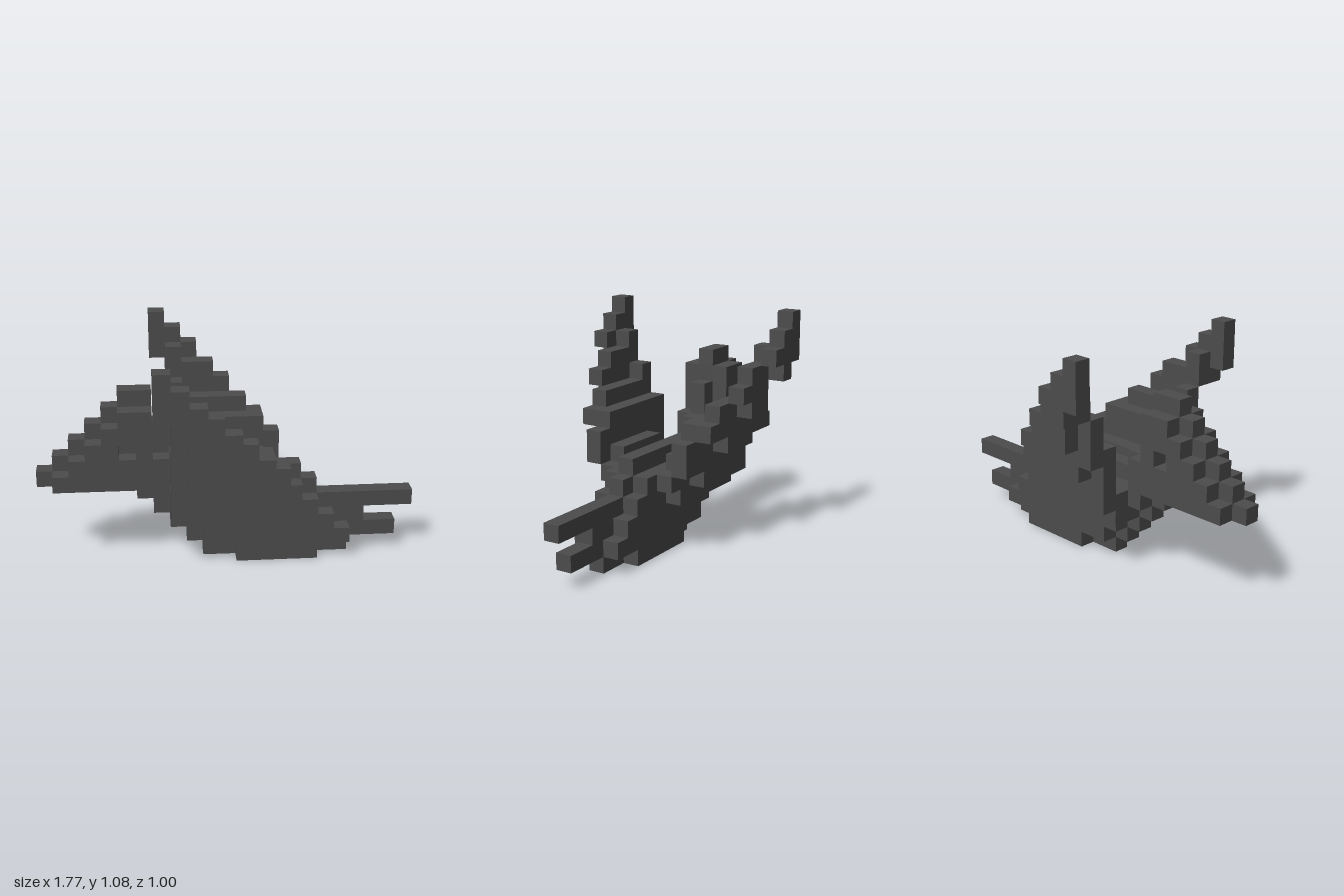
import * as THREE from 'three';
import { mergeGeometries } from 'three/addons/utils/BufferGeometryUtils.js';

const S = 2 / 26; // edge of one block

// Each slice lists runs of blocks as [row, first column, last column].
const spine = [
  [22, 5, 6], [21, 4, 6], [20, 3, 7], [19, 2, 7], [18, 1, 8], [17, 0, 15], [16, 6, 16],
  [15, 7, 22], [14, 8, 19], [13, 9, 21], [12, 10, 18],
];
// the gap in row 19 is the sunken eye
const flank = [
  [21, 5, 6], [20, 4, 6], [19, 3, 4], [19, 6, 6], [18, 2, 7], [17, 1, 7], [16, 7, 15],
  [15, 8, 16], [14, 9, 17], [13, 10, 18], [12, 12, 16],
];
// wing slices, from the root outwards
const wing = [
  [[17, 10, 13], [16, 8, 14], [15, 8, 13]],
  [[19, 8, 13], [18, 8, 14], [17, 8, 14], [16, 8, 12]],
  [[21, 8, 8], [20, 8, 12], [19, 8, 13], [18, 9, 11]],
  [[23, 8, 8], [22, 8, 10], [21, 9, 11], [20, 9, 10]],
  [[25, 7, 7], [24, 7, 8], [23, 7, 9], [22, 8, 8]],
];

const SIDES = [[1, 0, 0], [-1, 0, 0], [0, 1, 0], [0, -1, 0], [0, 0, 1], [0, 0, -1]];
const key = (i, j, k) => `${i},${j},${k}`;

// One outer face of a block, turned to look along the direction d
function blockFace(i, j, k, d) {
  const dir = new THREE.Vector3(...d);
  const turn = new THREE.Quaternion().setFromUnitVectors(new THREE.Vector3(0, 0, 1), dir);
  return new THREE.PlaneGeometry(S, S)
    .applyQuaternion(turn)
    .translate((i - 11 + d[0] / 2) * S, (j + 0.5 + d[1] / 2) * S, (k + d[2] / 2) * S);
}

// Sort the central blocks into named parts
function bodyPart(i, j) {
  if (i > 18) return 'tail';
  return i <= 8 && j >= 17 ? 'head' : 'torso';
}

export function createModel() {
  const group = new THREE.Group();
  const charcoal = new THREE.MeshStandardMaterial({ color: 0x4c4c4c });
  charcoal.name = 'charcoal';

  // Fill the block grid
  const blocks = new Map();
  const fill = (slice, k, name) => {
    for (const [j, first, last] of slice) {
      for (let i = first; i <= last; i++) {
        blocks.set(key(i, j, k), { i, j, k, part: name || bodyPart(i, j) });
      }
    }
  };
  fill(spine, 0);
  for (const side of [1, -1]) {
    fill(flank, side);
    wing.forEach((slice, n) => fill(slice, side * (n + 2), side > 0 ? 'frontWing' : 'backWing'));
  }

  // Keep only the exposed faces of each part
  const parts = {};
  for (const { i, j, k, part } of blocks.values()) {
    for (const d of SIDES) {
      if (blocks.has(key(i + d[0], j + d[1], k + d[2]))) continue;
      (parts[part] ||= []).push(blockFace(i, j, k, d));
    }
  }
  for (const [name, faces] of Object.entries(parts)) {
    const mesh = new THREE.Mesh(mergeGeometries(faces), charcoal);
    mesh.name = name;
    group.add(mesh);
  }
  return group;
}
